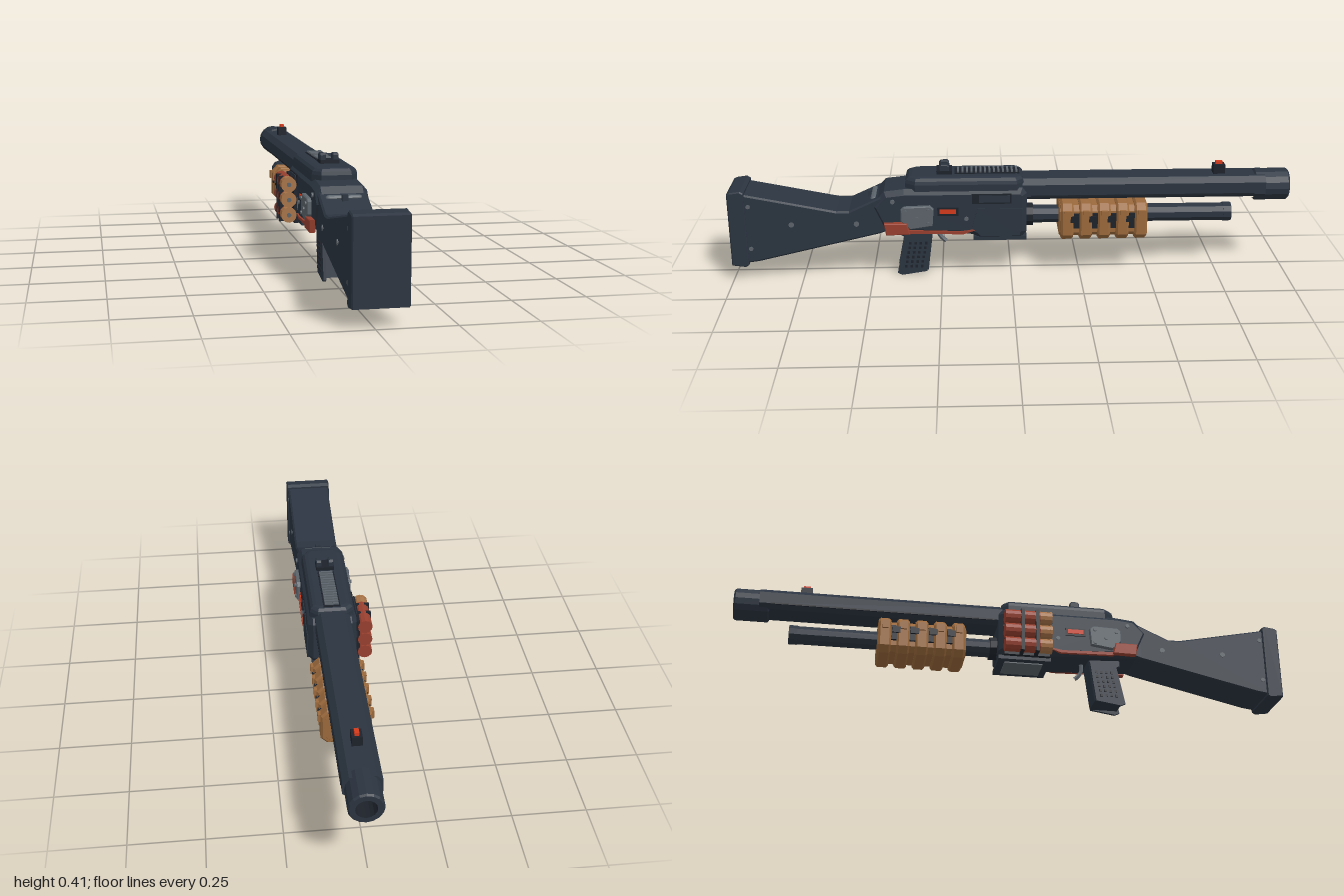
import * as THREE from 'three';

const mat = (name, color) => {
  const m = new THREE.MeshStandardMaterial({ color, flatShading: true });
  m.name = name;
  return m;
};

export function createModel() {
  const steel = mat('blue steel', 0x2b3440);
  const dark = mat('dark steel', 0x1d222a);
  const wood = mat('wood', 0x9c6a3c);
  const brass = mat('brass', 0xa87448);
  const rust = mat('rust red', 0x99402f);
  const red = mat('signal red', 0xd63a1c);
  const grey = mat('grey metal', 0x5c646b);

  const root = new THREE.Group();
  const gun = new THREE.Group();
  gun.name = 'gun';
  gun.position.x = 0.016; // shells hang on one side, so the body sits off centre
  root.add(gun);

  const add = (name, geo, m, x = 0, y = 0, z = 0) => {
    const mesh = new THREE.Mesh(geo, m);
    mesh.name = name;
    mesh.position.set(x, y, z);
    gun.add(mesh);
    return mesh;
  };
  const box = (name, m, w, h, d, x, y, z) => add(name, new THREE.BoxGeometry(w, h, d), m, x, y, z);
  const polygon = (pts) => new THREE.Shape(pts.map(([a, b]) => new THREE.Vector2(a, b)));
  const extrude = (pts, depth, bevel, segments = 1) => new THREE.ExtrudeGeometry(polygon(pts), {
    depth: depth - 2 * bevel, bevelEnabled: bevel > 0, bevelSize: bevel,
    bevelThickness: bevel, bevelOffset: -bevel, bevelSegments: segments,
  }).translate(0, 0, bevel);
  // side outline given as [z, y], extruded across x
  const profile = (name, m, pts, width, bevel = 0, x = 0) =>
    add(name, extrude(pts.map(([z, y]) => [-z, y]), width, bevel)
      .rotateY(Math.PI / 2).translate(-width / 2, 0, 0), m, x);
  // cylinder along z between two z values
  const rod = (name, m, r, z0, z1, x, y, sides = 12) =>
    add(name, new THREE.CylinderGeometry(r, r, Math.abs(z1 - z0), sides).rotateX(Math.PI / 2),
      m, x, y, (z0 + z1) / 2);
  // round screw head facing sideways
  const screw = (x, y, z, r = 0.008) =>
    add('screw', new THREE.CylinderGeometry(r, r, 0.008, 8).rotateZ(Math.PI / 2), grey, x, y, z);

  // Stock and butt plate
  profile('stock', steel, [[0.95, 0.33], [0.62, 0.262], [0.575, 0.262], [0.46, 0.315],
    [0.44, 0.185], [0.47, 0.175], [0.9, 0.075], [0.95, 0.068]], 0.164, 0.006);
  profile('buttPlate', steel, [[1, 0.332], [0.99, 0.338], [0.952, 0.343], [0.94, 0.335],
    [0.94, 0.062], [0.952, 0.055], [1, 0.062]], 0.176, 0.004);

  // Receiver
  profile('receiver', steel, [[0.45, 0.332], [0.5, 0.28], [0.455, 0.18], [0.14, 0.166],
    [0.11, 0.152], [-0.035, 0.152], [-0.055, 0.175], [-0.055, 0.32], [-0.04, 0.34], [0.38, 0.34]], 0.176, 0.018);
  const lever = add('rearLever', new THREE.CapsuleGeometry(0.011, 0.1, 3, 8).rotateZ(Math.PI / 2), grey, 0, 0.3, 0.488);
  lever.scale.y = 0.8;
  box('leverTab', steel, 0.02, 0.03, 0.012, 0, 0.297, 0.505);

  // Top cover with rounded edge
  add('topCover', extrude([[-0.078, 0.02], [-0.052, 0.045], [0.052, 0.045], [0.078, 0.02],
    [0.078, -0.34], [0.052, -0.375], [-0.052, -0.375], [-0.078, -0.34]], 0.084, 0.024, 3)
    .rotateX(-Math.PI / 2), steel, 0, 0.296, 0);
  box('ribBase', dark, 0.06, 0.004, 0.23, 0, 0.381, 0.085);
  for (let i = 0; i < 14; i++) box('rib', grey, 0.05, 0.008, 0.007, 0, 0.385, -0.02 + i * 0.016);

  // Rear sight
  box('rearSightBase', dark, 0.066, 0.014, 0.055, 0, 0.385, 0.237);
  for (const s of [-1, 1]) profile('rearSightPost', steel,
    [[0.255, 0.39], [0.255, 0.408], [0.248, 0.415], [0.226, 0.415], [0.219, 0.408], [0.219, 0.39]],
    0.021, 0.003, s * 0.0225);

  // Barrel, muzzle with bore, and front sight
  add('barrel', extrude([[-0.062, 0.302], [-0.045, 0.287], [0.045, 0.287], [0.062, 0.302],
    [0.062, 0.345], [0.042, 0.364], [-0.042, 0.364], [-0.062, 0.345]], 0.87, 0), steel, 0, 0, -0.91);
  for (const s of [-1, 1]) box('barrelGroove', dark, 0.004, 0.006, 0.8, s * 0.061, 0.303, -0.47);
  add('muzzle', new THREE.LatheGeometry([[0.05, 0], [0.057, 0.006], [0.057, 0.12], [0.052, 0.126],
    [0.034, 0.126]].map((p) => new THREE.Vector2(...p)), 16).rotateX(-Math.PI / 2), steel, 0, 0.318, -0.874);
  add('bore', new THREE.LatheGeometry([[0.034, 0.126], [0.034, 0.03], [0, 0.03]]
    .map((p) => new THREE.Vector2(...p)), 16).rotateX(-Math.PI / 2), dark, 0, 0.318, -0.874);
  box('frontSight', dark, 0.034, 0.034, 0.042, 0, 0.38, -0.748);
  box('frontSightBead', red, 0.015, 0.012, 0.025, 0, 0.402, -0.748);

  // Magazine tube
  rod('magazineTube', steel, 0.033, -0.04, -0.78, 0, 0.213, 10);
  rod('magazineCap', steel, 0.035, -0.77, -0.8, 0, 0.213, 10);
  rod('tubeCollar', dark, 0.042, -0.05, -0.08, 0, 0.213, 10);

  // Sliding fore-end: core, five fat ribs, dark slots between them
  const slab = (w, h, c) => [[-w + c, -h], [w - c, -h], [w, -h + c], [w, h - c],
    [w - c, h], [-w + c, h], [-w, h - c], [-w, -h + c]];
  add('foreEndCore', extrude(slab(0.072, 0.058, 0.018), 0.316, 0.004), wood, 0, 0.207, -0.488);
  for (let i = 0; i < 5; i++) {
    const z = -0.2 - i * 0.066;
    add('foreEndRib', extrude(slab(0.086, 0.068, 0.022), 0.046, 0.007), wood, 0, 0.207, z - 0.023);
    for (const s of [-1, 1]) {
      box('ribPeg', wood, 0.016, 0.03, 0.022, s * 0.086, 0.24, z);
      if (i < 4) {
        box('foreEndSlot', dark, 0.012, 0.055, 0.02, s * 0.076, 0.213, z - 0.033);
        box('slotCatch', dark, 0.012, 0.022, 0.03, s * 0.083, 0.222, z - 0.026);
      }
    }
  }

  // Pistol grip with side panels and studs
  const gripZ = (y) => 0.405 - y * 0.19;
  profile('gripCore', steel, [[0.4, 0.19], [0.4, 0.155], [0.375, 0.14], [0.402, 0.014], [0.3, 0.014], [0.278, 0.19]], 0.09, 0.005);
  for (const s of [-1, 1]) {
    profile('gripPanel', steel, [[0.38, 0.165], [0.412, 0.008], [0.395, 0], [0.305, 0.014], [0.285, 0.165]], 0.01, 0, s * 0.046);
    for (let r = 0; r < 6; r++) for (let c = 0; c < 4; c++) {
      const y = 0.035 + r * 0.018;
      box('gripStud', dark, 0.005, 0.009, 0.009, s * 0.052, y, gripZ(y) - 0.018 - c * 0.019);
    }
  }
  const triggerPath = new THREE.CatmullRomCurve3([[0.262, 0.175], [0.262, 0.145], [0.25, 0.125], [0.235, 0.112]]
    .map(([z, y]) => new THREE.Vector3(0, y, z)));
  add('trigger', new THREE.TubeGeometry(triggerPath, 8, 0.008, 6), grey);

  // Loading port underneath
  box('loadingFrame', steel, 0.15, 0.014, 0.19, 0, 0.15, 0.04);
  box('loadingGate', grey, 0.1, 0.006, 0.14, 0, 0.142, 0.04);

  // Side fittings, mirrored
  for (const s of [-1, 1]) {
    profile('sidePlate', grey, [[0.392, 0.272], [0.38, 0.282], [0.288, 0.285], [0.275, 0.272],
      [0.28, 0.21], [0.36, 0.198], [0.392, 0.23]], 0.018, 0.003, s * 0.094);
    for (const [z, y] of [[0.375, 0.265], [0.295, 0.27], [0.295, 0.22], [0.335, 0.24]]) screw(s * 0.104, y, z, 0.007);
    profile('rustPlate', rust, [[0.452, 0.222], [0.37, 0.222], [0.36, 0.18], [0.445, 0.178]], 0.022, 0.003, s * 0.096);
    profile('rustStrip', rust, [[0.365, 0.19], [0.365, 0.178], [0.17, 0.174], [0.13, 0.188], [0.14, 0.19], [0.18, 0.184]], 0.012, 0, s * 0.087);
    box('indicatorFrame', dark, 0.008, 0.03, 0.075, s * 0.088, 0.26, 0.225);
    box('indicator', red, 0.008, 0.016, 0.058, s * 0.091, 0.261, 0.225);
    box('ejectionPanel', dark, 0.01, 0.036, 0.14, s * 0.086, 0.306, 0.07);
    box('ejectionDoor', steel, 0.012, 0.026, 0.11, s * 0.088, 0.307, 0.06);
    profile('frontPanel', steel, [[0.12, 0.27], [0.14, 0.2], [0.11, 0.165], [-0.03, 0.165], [-0.04, 0.27]], 0.008, 0, s * 0.087);
    screw(s * 0.088, 0.232, 0.16);
    screw(s * 0.09, 0.3, 0.42);
    for (const [z, y] of [[0.78, 0.215], [0.55, 0.215]]) screw(s * 0.081, y, z, 0.01);
    for (const y of [0.285, 0.125]) screw(s * 0.081, y, 0.928);
  }

  // Spare shells in a holder on the right side
  box('shellHolder', dark, 0.016, 0.162, 0.165, -0.092, 0.232, 0.045);
  for (const z of [0.022, 0.076]) box('shellStrap', dark, 0.052, 0.162, 0.013, -0.12, 0.232, z);
  for (let i = 0; i < 3; i++) {
    const y = 0.181 + i * 0.054;
    rod('shellCase', rust, 0.0265, -0.04, 0.086, -0.119, y);
    rod('shellHead', brass, 0.0262, 0.08, 0.122, -0.119, y);
    rod('shellRim', brass, 0.0275, 0.122, 0.13, -0.119, y);
    rod('primer', grey, 0.008, 0.126, 0.133, -0.119, y, 10);
  }
  return root;
}
